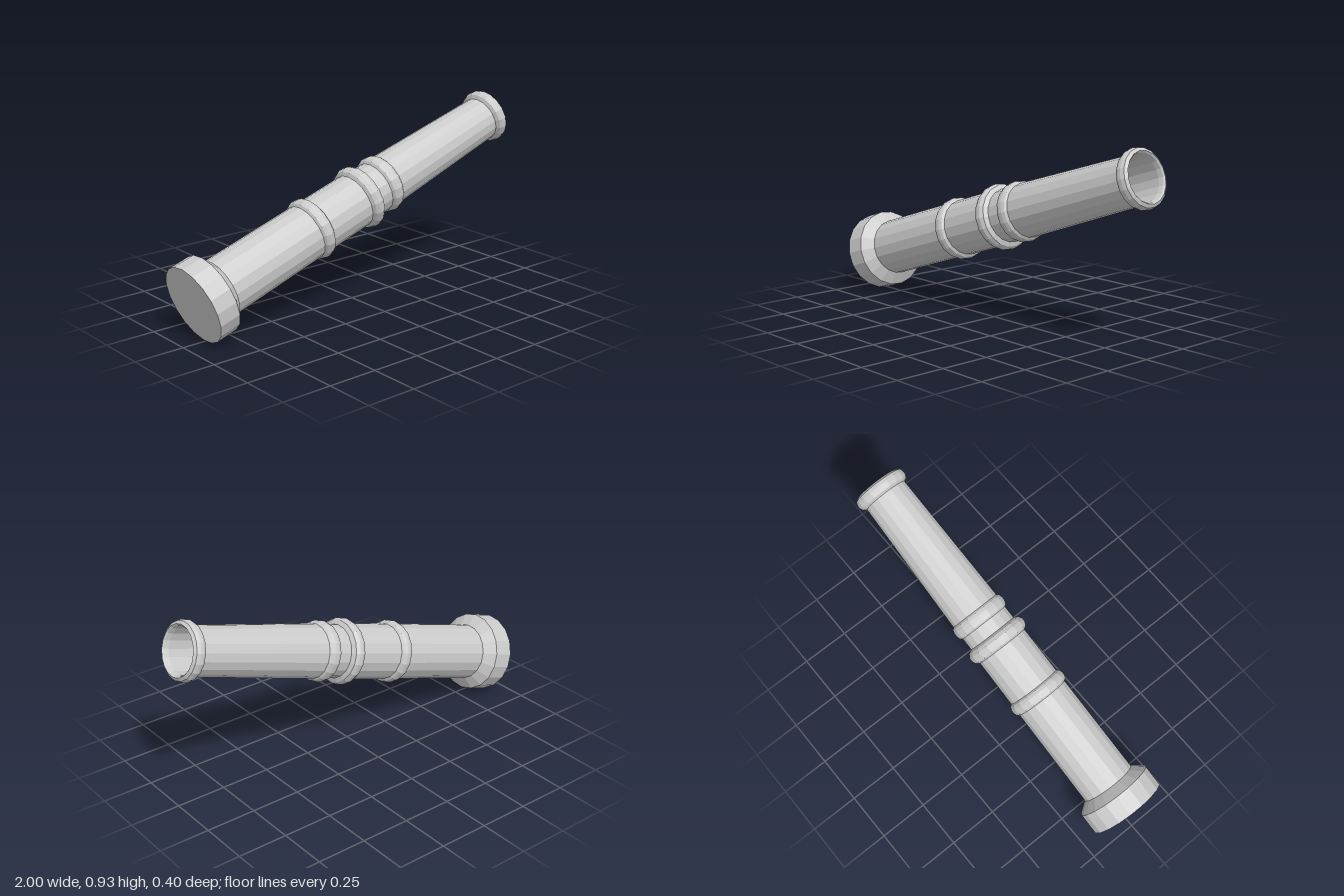
import * as THREE from 'three';

const SIDES = 18;
const material = new THREE.MeshStandardMaterial({ color: 0xcccccc, flatShading: true });

// Turned part: profile is a list of [radius, distance along the axis]
function turned(name, profile) {
  const points = profile.map(([r, s]) => new THREE.Vector2(r, s));
  const mesh = new THREE.Mesh(new THREE.LatheGeometry(points, SIDES, 0.274), material);
  mesh.name = name;
  return mesh;
}

// Rounded band around the tube
function band(name, start, end, rStart, rEnd, rPeak) {
  const w = end - start;
  const shoulder = (r) => r + (rPeak - r) * 0.7;
  return turned(name, [
    [rStart, start],
    [shoulder(rStart), start + w * 0.15],
    [rPeak, start + w * 0.38],
    [rPeak, start + w * 0.62],
    [shoulder(rEnd), start + w * 0.85],
    [rEnd, end],
  ]);
}

export function createModel() {
  const barrel = new THREE.Group();
  barrel.name = 'barrel';

  barrel.add(
    // Closed base with a chamfered shoulder
    turned('base', [[0, 0], [0.2, 0], [0.2, 0.11], [0.142, 0.155]]),

    // Tube sections, each a little slimmer than the last
    turned('rearTube', [[0.143, 0.15], [0.14, 0.72]]),
    turned('middleTube', [[0.14, 0.72], [0.138, 1.04]]),
    turned('neckTube', [[0.132, 1.04], [0.131, 1.2]]),
    turned('frontTube', [[0.134, 1.2], [0.115, 1.96]]),

    // Raised bands
    band('rearBand', 0.685, 0.755, 0.138, 0.138, 0.158),
    band('middleBand', 1.005, 1.085, 0.136, 0.13, 0.164),
    band('frontBand', 1.15, 1.225, 0.13, 0.132, 0.149),

    // Flared lip and hollow inside
    turned('muzzleRim', [
      [0.114, 1.93], [0.134, 1.942], [0.141, 1.957], [0.141, 1.972],
      [0.135, 1.99], [0.12, 2.0], [0.113, 1.992], [0.108, 1.97],
    ]),
    turned('bore', [[0.108, 1.97], [0.125, 1.2], [0.13, 0.15], [0, 0.15]]),
  );

  // Tilt the muzzle upward, with a slight turn to the back
  const tilt = THREE.MathUtils.degToRad(18);
  barrel.rotation.order = 'YZX';
  barrel.rotation.z = tilt - Math.PI / 2;
  barrel.rotation.y = 0.011;
  barrel.position.set(-0.938, 0.19, 0);

  const model = new THREE.Group();
  model.name = 'tube';
  model.add(barrel);
  return model;
}
